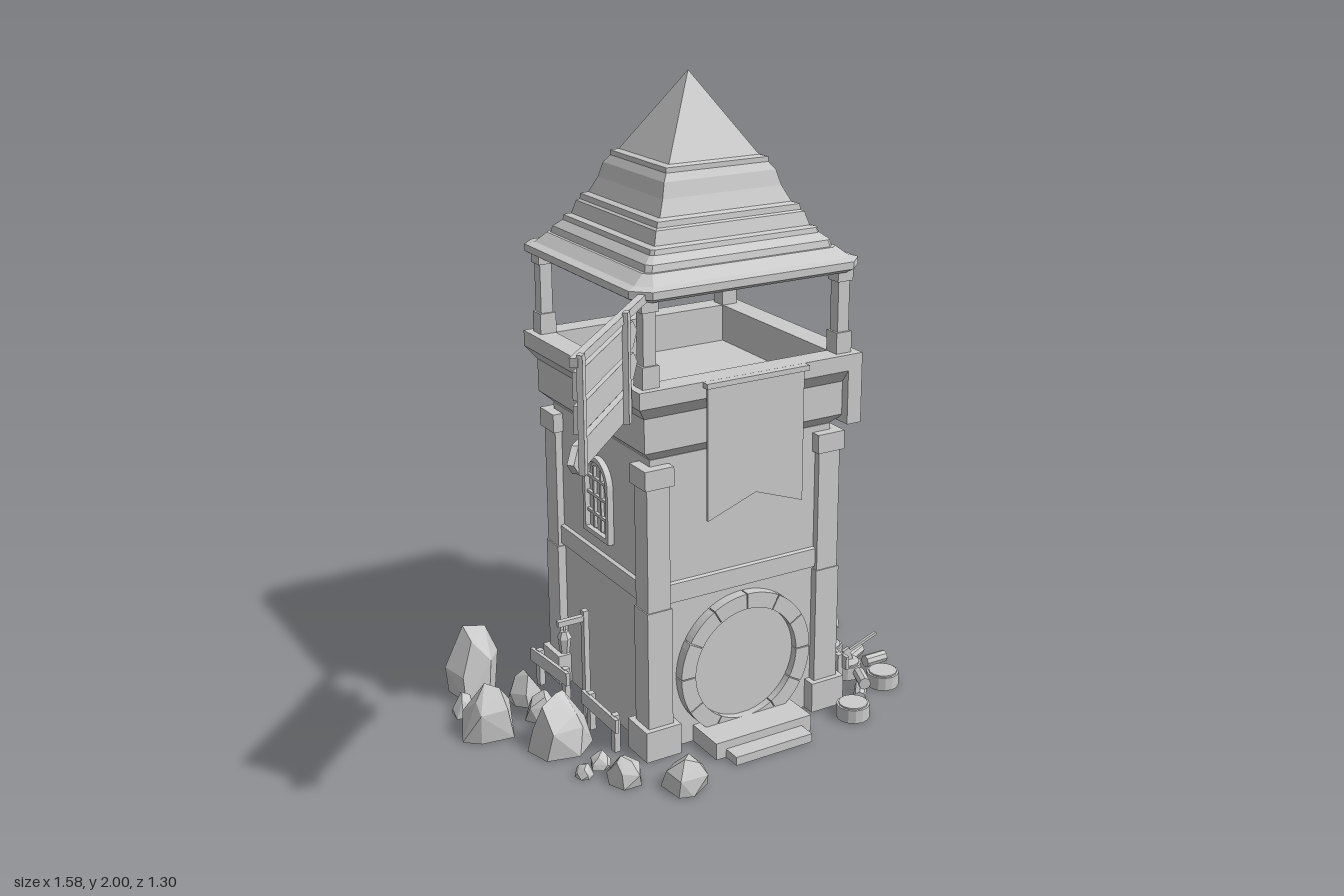
import * as THREE from 'three';
import { ConvexGeometry } from 'three/addons/geometries/ConvexGeometry.js';

const grey = new THREE.MeshStandardMaterial({ color: 0xcccccc, flatShading: true, side: THREE.DoubleSide });

function add(parent, name, geometry, x = 0, y = 0, z = 0) {
  const m = new THREE.Mesh(geometry, grey);
  m.name = name;
  m.position.set(x, y, z);
  parent.add(m);
  return m;
}
const box = (p, name, w, h, d, x, y, z) => add(p, name, new THREE.BoxGeometry(w, h, d), x, y, z);
function group(parent, name, x = 0, y = 0, z = 0, ry = 0) {
  const g = new THREE.Group();
  g.name = name;
  g.position.set(x, y, z);
  g.rotation.y = ry;
  parent.add(g);
  return g;
}
function seeded(seed) {
  let s = seed * 7919 + 13;
  return () => (s = (s * 16807) % 2147483647) / 2147483647;
}

// Square loft with chamfered corners; profile rows are [half width, y, chamfer]
function loft(profile) {
  const rings = profile.map(([h, y, c = 0]) => {
    const k = h - Math.min(c, h);
    return [[h, k], [h, -k], [k, -h], [-k, -h], [-h, -k], [-h, k], [-k, h], [k, h]].map(([x, z]) => [x, y, z]);
  });
  const pos = [];
  for (let i = 0; i + 1 < rings.length; i++) {
    for (let j = 0; j < 8; j++) {
      const n = (j + 1) % 8, a = rings[i], b = rings[i + 1];
      pos.push(...a[j], ...a[n], ...b[n], ...a[j], ...b[n], ...b[j]);
    }
  }
  const g = new THREE.BufferGeometry();
  g.setAttribute('position', new THREE.Float32BufferAttribute(pos, 3));
  g.computeVertexNormals();
  return g;
}
function polygon(points, depth) {
  const s = new THREE.Shape(points.map(([x, y]) => new THREE.Vector2(x, y)));
  return new THREE.ExtrudeGeometry(s, { depth, bevelEnabled: false });
}

function archShape(w, h, Type = THREE.Shape) {
  const s = new Type();
  s.moveTo(-w, -h);
  s.lineTo(w, -h);
  s.lineTo(w, h - w);
  s.absarc(0, h - w, w, 0, Math.PI, false);
  s.lineTo(-w, -h);
  return s;
}
function addWindow(parent, side) {
  const g = group(parent, 'window', side * 0.305, 0.735, 0, side * Math.PI / 2);
  const frame = archShape(0.083, 0.13);
  frame.holes.push(archShape(0.067, 0.114, THREE.Path));
  add(g, 'windowFrame', new THREE.ExtrudeGeometry(frame, { depth: 0.03, bevelEnabled: false, curveSegments: 8 }));
  add(g, 'windowPane', new THREE.ShapeGeometry(archShape(0.07, 0.117), 8), 0, 0, 0.013);
  for (const x of [-0.023, 0.023]) box(g, 'windowBar', 0.009, 0.2, 0.012, x, -0.007, 0.017);
  for (const y of [-0.06, 0, 0.055]) box(g, 'windowBar', 0.134, 0.009, 0.012, 0, y, 0.017);
}

function addDoor(parent) {
  const g = group(parent, 'door', 0, 0.236, 0.3);
  const count = 12, step = Math.PI * 2 / count;
  for (let i = 0; i < count; i++) {
    const a = i * step + 0.008, b = (i + 1) * step - 0.008, s = new THREE.Shape();
    s.absarc(0, 0, 0.232, a, b, false);
    s.absarc(0, 0, 0.182, b, a, true);
    add(g, 'doorStone', new THREE.ExtrudeGeometry(s, { depth: 0.05, bevelEnabled: false, curveSegments: 3 }));
  }
  add(g, 'doorPanel', new THREE.CylinderGeometry(0.186, 0.186, 0.025, 32).rotateX(Math.PI / 2), 0, 0, 0.012);
  box(parent, 'upperStep', 0.345, 0.055, 0.15, 0, 0.0275, 0.38);
  box(parent, 'lowerStep', 0.275, 0.028, 0.21, 0, 0.014, 0.41);
}

function addTower(root) {
  const t = group(root, 'tower', 0.025, 0, -0.165);
  t.scale.z = 0.975;
  add(t, 'walls', loft([[0, 0], [0.315, 0], [0.315, 0.95], [0, 0.95]]));
  add(t, 'wallBeam', loft([[0.31, 0.49], [0.327, 0.49], [0.327, 0.55], [0.31, 0.555]]));
  // Corner pillars: base, lower shaft, upper shaft, capital; then the roof posts
  for (const sx of [-1, 1]) for (const sz of [-1, 1]) {
    const c = group(t, 'cornerPillar', sx * 0.3, 0, sz * 0.3);
    box(c, 'pillarBase', 0.12, 0.1, 0.12, 0, 0.05, 0);
    box(c, 'pillarShaft', 0.084, 0.48, 0.084, 0, 0.24, 0);
    box(c, 'pillarUpperShaft', 0.076, 0.42, 0.076, 0, 0.68, 0);
    box(c, 'pillarCapital', 0.096, 0.06, 0.096, 0, 0.9, 0);
    const p = group(t, 'roofPost', sx * 0.33, 0, sz * 0.33);
    box(p, 'postFoot', 0.054, 0.07, 0.054, 0, 1.21, 0);
    box(p, 'postShaft', 0.04, 0.27, 0.04, 0, 1.31, 0);
    box(p, 'postCap', 0.054, 0.035, 0.054, 0, 1.418, 0);
  }
  // Stepped parapet, hollow on top with a floor
  add(t, 'parapet', loft([[0, 0.92], [0.28, 0.92], [0.35, 0.985], [0.35, 1.09], [0.38, 1.13], [0.38, 1.18],
    [0.305, 1.18], [0.305, 1.06], [0, 1.06]]));
  box(t, 'parapetSidePanel', 0.05, 0.22, 0.76, 0.358, 1.07, 0);
  add(t, 'roof', loft([[0, 1.43], [0.365, 1.43, 0.04], [0.387, 1.443, 0.05], [0.387, 1.465, 0.05], [0.36, 1.472, 0.04],
    [0.325, 1.5, 0.02], [0.315, 1.5, 0.015], [0.31, 1.52, 0.015], [0.285, 1.54, 0.01], [0.282, 1.555, 0.01],
    [0.262, 1.56], [0.25, 1.6], [0.242, 1.605], [0.24, 1.622], [0.222, 1.628], [0.2, 1.675],
    [0.188, 1.72], [0.172, 1.742], [0.172, 1.757], [0.152, 1.762], [0, 2]]));
  for (const s of [-1, 1]) addWindow(t, s);
  addDoor(t);
  // Hanging banner with a notched lower edge
  add(t, 'banner', polygon([[-0.165, 1.17], [-0.165, 0.755], [0, 0.815], [0.165, 0.755], [0.165, 1.17]], 0.008), 0, 0, 0.385);
  box(t, 'bannerRod', 0.35, 0.016, 0.025, 0, 1.172, 0.393);
}

function addLampPost(root, x, side) {
  const g = group(root, 'lampPost', x, 0, -0.165, side > 0 ? 0 : Math.PI);
  box(g, 'lampPole', 0.018, 0.37, 0.022, 0, 0.185, 0);
  box(g, 'lampArm', 0.1, 0.018, 0.018, 0.045, 0.345, 0);
  box(g, 'lampHook', 0.006, 0.035, 0.006, 0.072, 0.325, 0);
  add(g, 'lampCap', new THREE.CylinderGeometry(0.013, 0.024, 0.022, 6), 0.072, 0.305, 0);
  add(g, 'lampBody', new THREE.CylinderGeometry(0.021, 0.015, 0.05, 6), 0.072, 0.27, 0);
}

function addFence(root, x, z, ry) {
  const g = group(root, 'fence', x, 0, z, ry);
  box(g, 'fenceRail', 0.225, 0.045, 0.012, 0, 0.1, 0);
  for (const s of [-1, 1]) box(g, 'fencePost', 0.022, 0.125, 0.02, s * 0.08, 0.0625, -0.012);
}

function addSign(root) {
  const g = group(root, 'signpost', -0.335, 0, 0.19, -Math.PI * 3 / 4);
  box(g, 'signArm', 0.64, 0.024, 0.022, 0.285, 1.446, 0);
  for (const x of [0.2, 0.59]) box(g, 'signHanger', 0.024, 0.31, 0.016, x, 1.31, -0.014);
  const plank = (a, b, dir, y) => {
    const h = 0.037, t = 0.04;
    const pts = dir < 0 ? [[a, 0], [a + t, -h], [b, -h], [b, h], [a + t, h]] : [[a, -h], [b - t, -h], [b, 0], [b - t, h], [a, h]];
    add(g, 'signPlank', polygon(pts, 0.018), 0, y, -0.006);
  };
  plank(0.07, 0.58, -1, 1.378);
  plank(0.07, 0.58, -1, 1.29);
  plank(0.127, 0.64, 1, 1.195);
}

function addRock(root, [x, z, r, h], i) {
  const rnd = seeded(i + 3), pts = [];
  // Irregular base, shoulder and peak rings wrapped in a convex hull
  for (const [y, k, n] of [[0, 0.95, 6], [0.45, 0.92, 5], [0.85, 0.5, 3]]) {
    const turn = rnd() * 6;
    for (let j = 0; j < n; j++) {
      const a = turn + j / n * Math.PI * 2 + rnd() * 0.4, q = r * k * (0.8 + rnd() * 0.3);
      pts.push(new THREE.Vector3(Math.cos(a) * q, y ? h * (y + (rnd() - 0.5) * 0.25) : 0, Math.sin(a) * q));
    }
  }
  pts.push(new THREE.Vector3((rnd() - 0.5) * r * 0.5, h, (rnd() - 0.5) * r * 0.5));
  add(root, 'rock', new ConvexGeometry(pts), x, 0, z);
}

export function createModel() {
  const root = new THREE.Group();
  root.name = 'watchtower';
  addTower(root);
  addSign(root);
  addLampPost(root, 0.4, 1);
  addLampPost(root, -0.355, -1);

  // Low fences along both sides and the back
  addFence(root, 0.44, 0.015, Math.PI / 2 + 0.04);
  addFence(root, 0.44, -0.35, Math.PI / 2 + 0.08);
  addFence(root, -0.39, -0.01, -Math.PI / 2);
  addFence(root, -0.39, -0.355, -Math.PI / 2 + 0.08);
  addFence(root, -0.11, -0.56, Math.PI);
  addFence(root, 0.15, -0.56, Math.PI);

  // Tree stumps, split logs and an axe
  for (const [x, z] of [[0.53, -0.11], [0.51, 0.025], [0.575, 0.145], [0.365, 0.27]]) {
    add(root, 'stump', new THREE.CylinderGeometry(0.053, 0.053, 0.045, 14), x, 0.0225, z);
    add(root, 'stumpTop', new THREE.CylinderGeometry(0.046, 0.046, 0.006, 14), x, 0.047, z);
  }
  for (const [x, y, z, ry] of [[0.6, 0.02, -0.05, 0.45], [0.635, 0.02, 0.02, 0], [0.455, 0.02, 0.185, 0.9], [0.475, 0.055, 0.165, 1.2]]) {
    const log = add(root, 'log', new THREE.CylinderGeometry(0.02, 0.02, 0.08, 8).rotateZ(Math.PI / 2), x, y, z);
    log.rotation.y = ry;
  }
  const axe = group(root, 'axe', 0.515, 0.06, 0.025);
  axe.rotation.z = 0.35;
  box(axe, 'axeHandle', 0.13, 0.01, 0.01, 0.065, 0.015, 0);
  box(axe, 'axeHead', 0.025, 0.05, 0.012, 0.005, 0.005, 0);

  // Rocks: x, z, radius, height
  const rocks = [
    [-0.59, -0.52, 0.095, 0.225], [-0.68, -0.38, 0.042, 0.07], [-0.67, -0.23, 0.09, 0.18], [-0.51, -0.04, 0.105, 0.17],
    [-0.48, -0.36, 0.056, 0.11], [-0.48, -0.23, 0.056, 0.1], [-0.53, 0.15, 0.03, 0.04], [-0.46, 0.125, 0.036, 0.05],
    [-0.44, 0.24, 0.058, 0.09], [-0.3, 0.36, 0.078, 0.1], [0.54, -0.59, 0.078, 0.17], [0.71, -0.485, 0.083, 0.1],
    [0.54, -0.42, 0.066, 0.17], [0.665, -0.31, 0.056, 0.08], [0.5, -0.295, 0.032, 0.06], [0.58, -0.245, 0.022, 0.03],
    [0.49, -0.215, 0.022, 0.03]];
  rocks.forEach((r, i) => addRock(root, r, i));
  return root;
}
